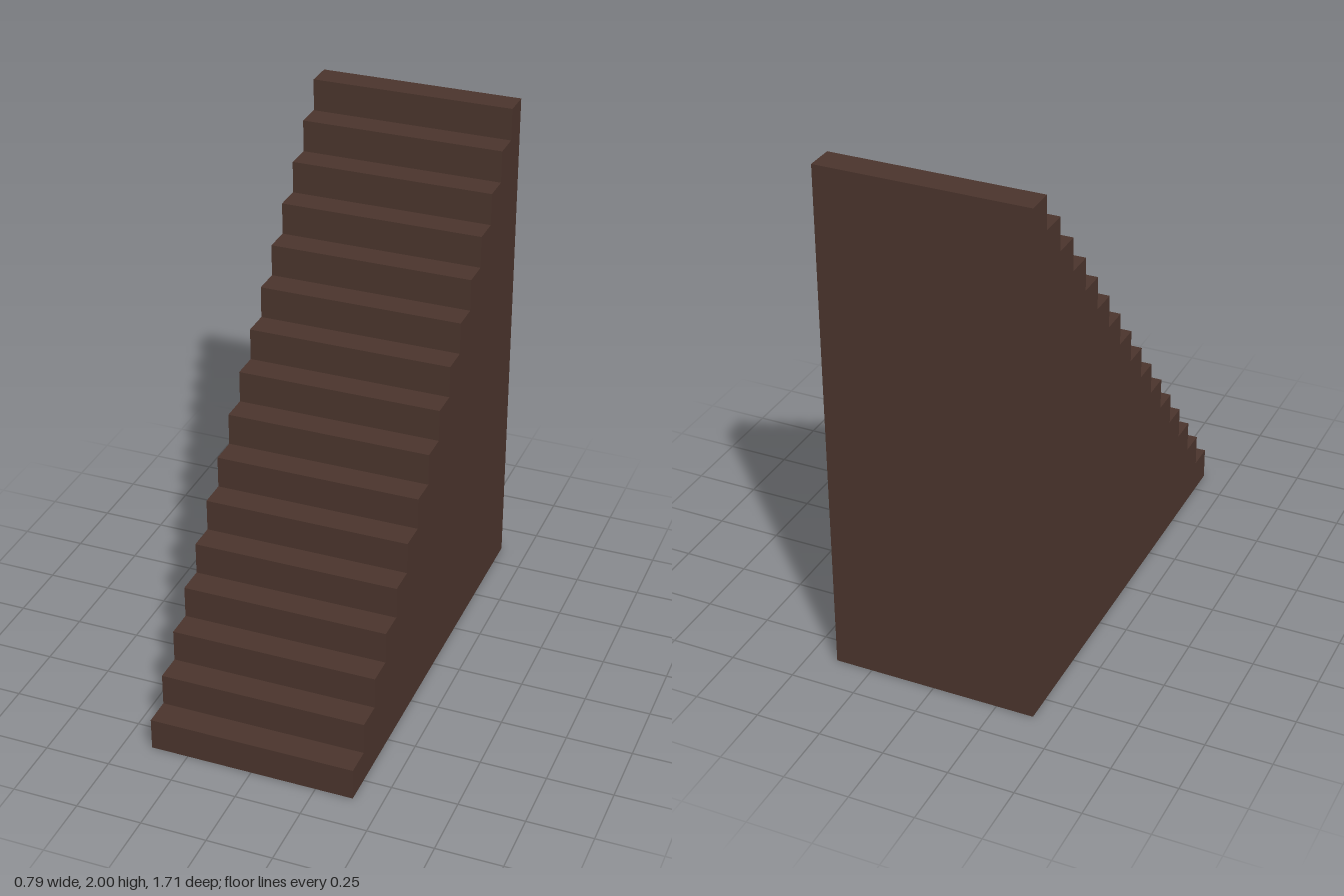
import * as THREE from 'three';

const STEPS = 16;
const WIDTH = 0.786;
const HEIGHT = 2;
const DEPTH = 1.714;

export function createModel() {
  const darkBrown = new THREE.MeshStandardMaterial({ color: 0x4a342c });
  darkBrown.name = 'darkBrown';

  // Stepped side profile: x runs from back to front, y is up
  const rise = HEIGHT / STEPS;
  const run = DEPTH / STEPS;
  const profile = new THREE.Shape();
  profile.moveTo(-DEPTH / 2, 0);
  profile.lineTo(DEPTH / 2, 0);
  for (let i = 0; i < STEPS; i++) {
    const y = (i + 1) * rise;
    profile.lineTo(DEPTH / 2 - i * run, y); // riser
    profile.lineTo(DEPTH / 2 - (i + 1) * run, y); // tread
  }
  profile.closePath();

  // Solid staircase, extruded across its width and turned to face +z
  const geometry = new THREE.ExtrudeGeometry(profile, { depth: WIDTH, bevelEnabled: false });
  geometry.translate(0, 0, -WIDTH / 2);
  geometry.rotateY(-Math.PI / 2);

  const staircase = new THREE.Mesh(geometry, darkBrown);
  staircase.name = 'staircase';

  const model = new THREE.Group();
  model.name = 'stairs';
  model.add(staircase);
  return model;
}
